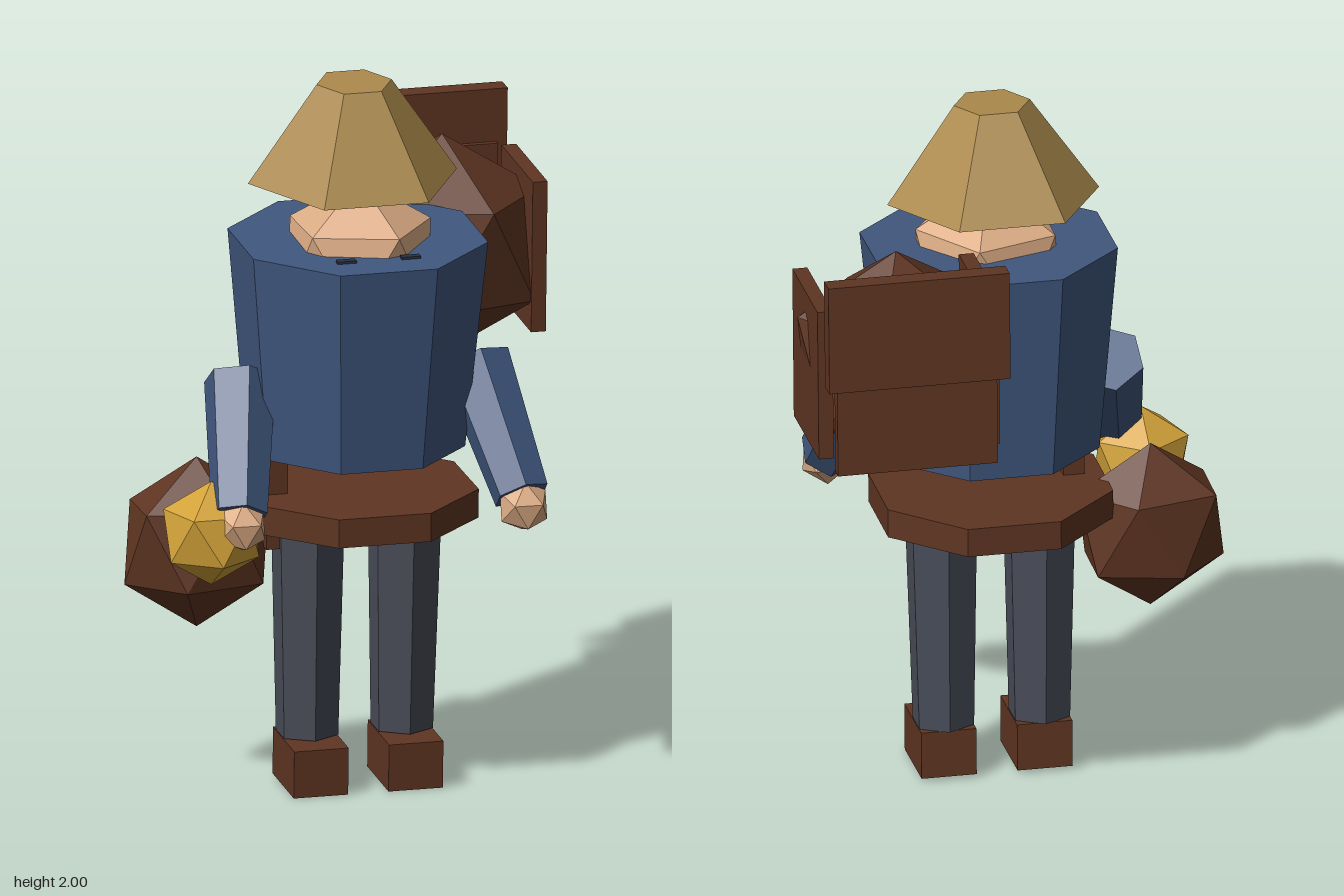
import * as THREE from 'three';

const LEAN = 0.045; // the whole figure leans slightly forward

export function createModel() {
  const model = new THREE.Group();
  model.name = 'traveller';

  const paint = (name, color) => {
    const m = new THREE.MeshStandardMaterial({ color });
    m.name = name;
    return m;
  };
  const brown = paint('leather brown', 0x5f3522);
  const blue = paint('coat blue', 0x40577e);
  const grey = paint('trouser grey', 0x484c58);
  const straw = paint('straw', 0xac8a4c);
  const skin = paint('skin', 0xdcac85);
  const gold = paint('lantern gold', 0xd2a239);
  const dark = paint('eye dark', 0x2b3040);

  function add(name, geometry, material, position, lean = LEAN) {
    const flat = geometry.index ? geometry.toNonIndexed() : geometry;
    flat.computeVertexNormals();
    const mesh = new THREE.Mesh(flat, material);
    mesh.name = name;
    mesh.position.set(...position);
    mesh.rotation.x = lean;
    model.add(mesh);
    return mesh;
  }

  const box = (name, size, material, position, lean) =>
    add(name, new THREE.BoxGeometry(...size), material, position, lean);

  // Faceted ball standing on one corner, with its upper ring pointing to +x
  function ball(name, radii, material, position, turn = 0, lean = 0) {
    const g = new THREE.IcosahedronGeometry(1, 0);
    g.rotateZ(-Math.atan(2 / (1 + Math.sqrt(5))));
    g.rotateY(turn);
    g.scale(...radii);
    return add(name, g, material, position, lean);
  }

  // Upright prism with a flat side or corner forward
  function prism(name, rTop, rBottom, height, sides, turn, material, position, lean) {
    const g = new THREE.CylinderGeometry(rTop, rBottom, height, sides);
    g.rotateY(turn);
    return add(name, g, material, position, lean);
  }

  // Six-sided limb tapering from one joint to the next
  function limb(name, from, to, rFrom, rTo, material) {
    const a = new THREE.Vector3(...from), b = new THREE.Vector3(...to);
    const mesh = add(name, new THREE.CylinderGeometry(rFrom, rTo, a.distanceTo(b), 6), material, [0, 0, 0], 0);
    mesh.position.copy(a).add(b).multiplyScalar(0.5);
    mesh.quaternion.setFromUnitVectors(new THREE.Vector3(0, 1, 0), a.sub(b).normalize());
  }

  // Hat, head and eyes
  prism('hat', 0.107, 0.298, 0.275, 6, Math.PI / 6, straw, [0.008, 1.86, 0.137], 0.065);
  ball('head', [0.228, 0.228, 0.228], skin, [0.008, 1.507, 0.2]);
  for (const x of [-0.083, 0.1]) box('eye', [0.054, 0.008, 0.022], dark, [x, 1.56, 0.403]);

  // Coat and belt
  prism('coat', 0.362, 0.305, 0.595, 8, Math.PI / 8, blue, [0.01, 1.27, 0.165]);
  prism('belt', 0.343, 0.343, 0.082, 8, Math.PI / 8, brown, [0.01, 0.808, 0.15], 0.025);

  // Arms, hands, legs and boots
  for (const [side, s] of [['left', 1], ['right', -1]]) {
    const x = (d) => 0.01 + s * d;
    limb(side + 'Arm', [x(0.335), 1.18, 0.175], [x(0.402), 0.86, 0.42], 0.102, 0.08, blue);
    ball(side + 'Hand', [0.076, 0.076, 0.076], skin, [x(0.402), 0.835, 0.44], 0.3, 0.3);
    limb(side + 'Leg', [x(0.138), 0.735, 0.16], [x(0.135), 0.145, 0.142], 0.104, 0.089, grey);
    box(side + 'Boot', [0.155, 0.135, 0.226], brown, [x(0.135), 0.073, 0.18]);
  }

  // Hip pouch with its strap, and the lantern
  box('pouchStrap', [0.06, 0.29, 0.045], brown, [-0.225, 0.835, 0.175], 0.03);
  ball('hipPouch', [0.23, 0.243, 0.17], brown, [-0.43, 0.703, 0.105]);
  ball('lantern', [0.148, 0.148, 0.148], gold, [-0.455, 0.798, 0.355], Math.PI / 10);

  // Backpack bundle held between boards
  ball('packBundle', [0.31, 0.315, 0.276], brown, [0.35, 1.415, -0.195]);
  for (const x of [0.115, 0.583]) box('packSideBoard', [0.042, 0.435, 0.335], brown, [x, 1.413, -0.196]);
  box('packBackBoard', [0.45, 0.42, 0.036], brown, [0.35, 1.41, -0.464]);
  box('packFlap', [0.51, 0.312, 0.058], brown, [0.35, 1.618, -0.482]);

  return model;
}
